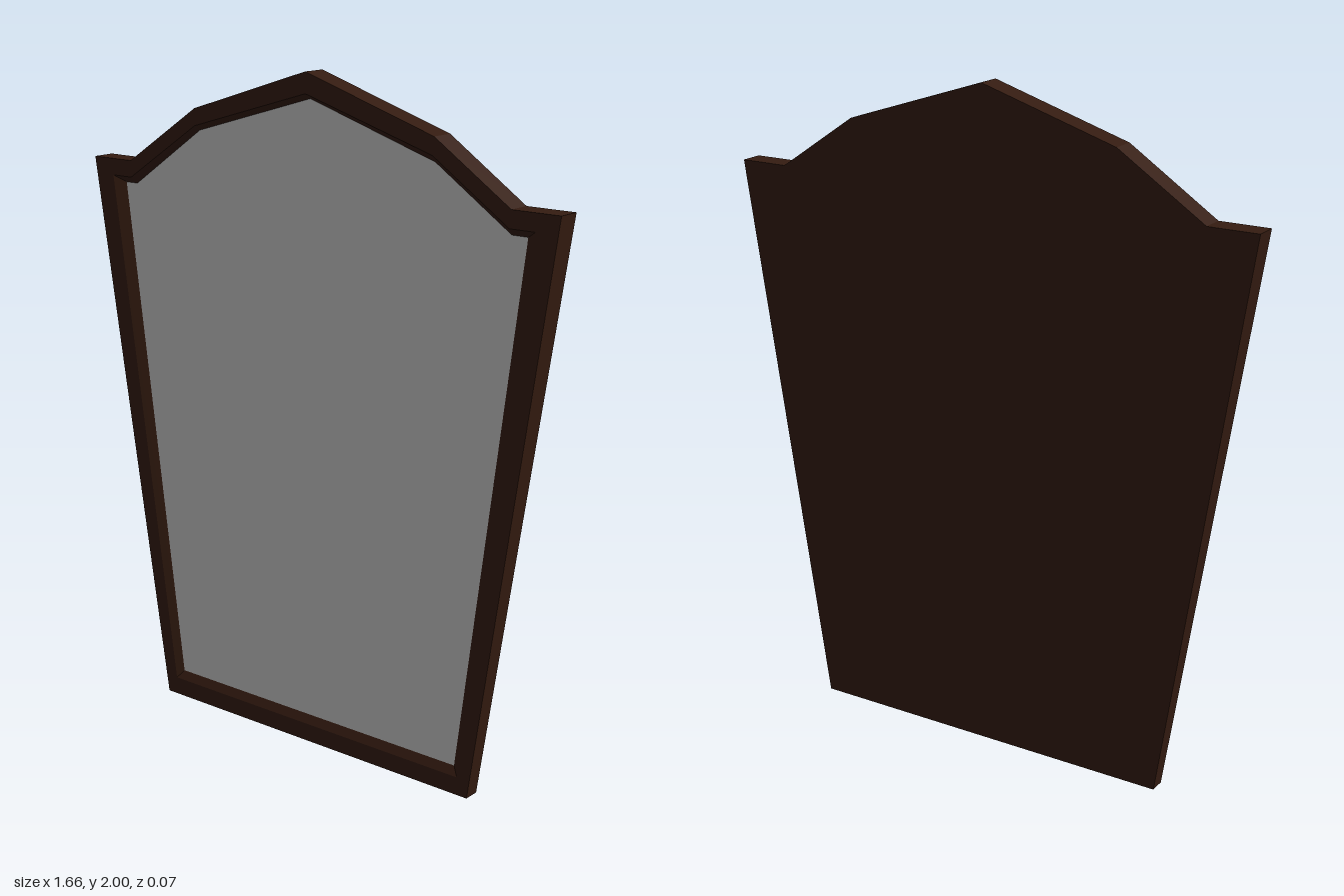
import * as THREE from 'three';

// Corner loops, counter-clockwise seen from the front
const outer = [[-0.58, 0], [0.58, 0], [0.83, 1.695], [0.68, 1.695], [0.435, 1.86], [0, 2], [-0.415, 1.87], [-0.68, 1.695], [-0.83, 1.695]];
const lip = [[-0.545, 0.055], [0.545, 0.055], [0.755, 1.645], [0.675, 1.645], [0.43, 1.81], [0, 1.94], [-0.415, 1.82], [-0.68, 1.645], [-0.755, 1.645]];
const inner = [[-0.525, 0.08], [0.525, 0.08], [0.72, 1.625], [0.67, 1.625], [0.425, 1.79], [0, 1.925], [-0.415, 1.805], [-0.675, 1.625], [-0.72, 1.625]];

// The whole slab grows thicker towards the top
const taper = (y) => 0.024 + 0.0065 * y;
const lift = (loop, depth) => loop.map(([x, y]) => [x, y, depth * taper(y)]);

// Flat-shaded bands joining consecutive loops
function bands(loops) {
  const pos = [];
  for (let k = 0; k + 1 < loops.length; k++) {
    const a = loops[k], b = loops[k + 1], n = a.length;
    for (let i = 0; i < n; i++) {
      const j = (i + 1) % n;
      pos.push(...a[i], ...a[j], ...b[j], ...a[i], ...b[j], ...b[i]);
    }
  }
  const g = new THREE.BufferGeometry();
  g.setAttribute('position', new THREE.Float32BufferAttribute(pos, 3));
  g.computeVertexNormals();
  return g;
}

// Filled panel following the taper
function panel(loop, depth) {
  const g = new THREE.ShapeGeometry(new THREE.Shape(loop.map(([x, y]) => new THREE.Vector2(x, y))));
  const p = g.attributes.position;
  for (let i = 0; i < p.count; i++) p.setZ(i, depth * taper(p.getY(i)));
  if (depth < 0) { // turn the faces to the back
    const idx = g.index.array;
    for (let i = 0; i < idx.length; i += 3) [idx[i], idx[i + 1]] = [idx[i + 1], idx[i]];
  }
  g.computeVertexNormals();
  return g;
}

export function createModel() {
  const group = new THREE.Group();
  const wood = new THREE.MeshStandardMaterial({ color: 0x351c11 });
  const glass = new THREE.MeshStandardMaterial({ color: 0xcccccc });
  const add = (name, geometry, material) => {
    const mesh = new THREE.Mesh(geometry, material);
    mesh.name = name;
    group.add(mesh);
  };

  // Outer edge, flat front border and the bevel down to the glass
  add('frame', bands([lift(outer, -1), lift(outer, 1), lift(lip, 1), lift(inner, 0.4)]), wood);
  add('backPanel', panel(outer, -1), wood);
  add('mirrorGlass', panel(inner, 0.4), glass);
  return group;
}
